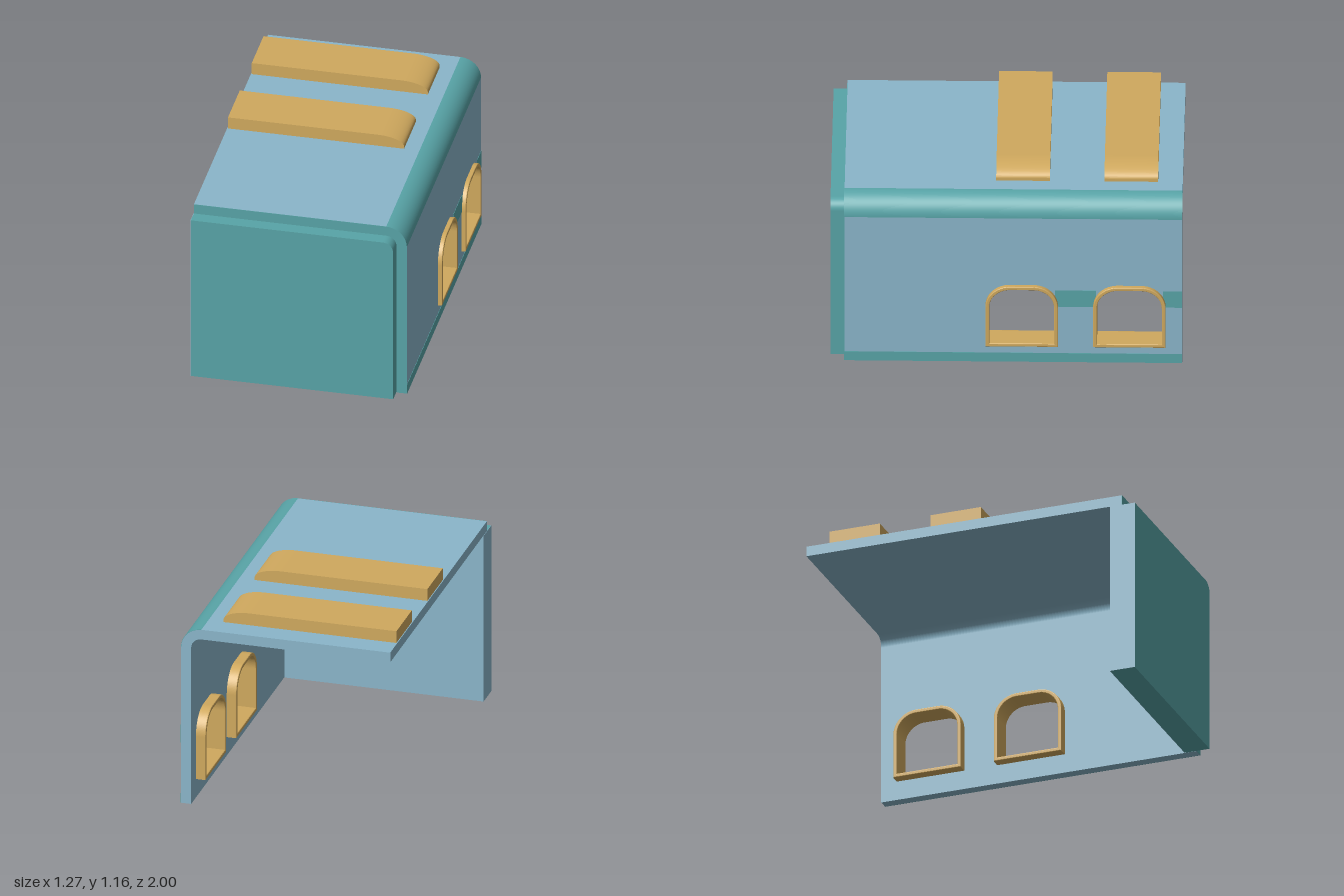
import * as THREE from 'three';

const paint = (color) => new THREE.MeshStandardMaterial({ color });
const BLUE = paint(0x8ab6ca), TEAL = paint(0x58a4a7), TAN = paint(0xd0a95e);

// Main measurements
const LEFT = -0.635, RIGHT = 0.605, TOP = 1.09, WALL = 0.06, R = 0.12;
const BACK = -1, RIM = 0.92, FRONT = 1, SKIN = 0.002;
const CX = RIGHT - R, CY = TOP - R;

export function createModel() {
  const model = new THREE.Group();

  function add(name, geometry, material, parent = model) {
    const mesh = new THREE.Mesh(geometry, material);
    mesh.name = name;
    parent.add(mesh);
    return mesh;
  }

  // Box given by its minimum and maximum corners
  function box(name, a, b, material) {
    const g = new THREE.BoxGeometry(b[0] - a[0], b[1] - a[1], b[2] - a[2]);
    g.translate((a[0] + b[0]) / 2, (a[1] + b[1]) / 2, (a[2] + b[2]) / 2);
    return add(name, g, material);
  }

  // Shape in x, y extruded from z0 to z1
  function alongZ(shape, z0, z1) {
    const g = new THREE.ExtrudeGeometry(shape, { depth: z1 - z0, bevelEnabled: false, curveSegments: 16 });
    return g.translate(0, 0, z0);
  }

  // Shape in (-z, y) extruded from x0 to x1
  function alongX(shape, x0, x1, bevel = 0) {
    const g = new THREE.ExtrudeGeometry(shape, {
      depth: x1 - x0 - 2 * bevel, curveSegments: 16, bevelEnabled: bevel > 0,
      bevelSize: bevel, bevelThickness: bevel, bevelOffset: -bevel, bevelSegments: 3,
    });
    return g.translate(0, 0, x0 + bevel).rotateY(Math.PI / 2);
  }

  // Quarter ring for the rounded roof edge
  function quarterRing(inner, outer) {
    const s = new THREE.Shape();
    s.absarc(CX, CY, outer, 0, Math.PI / 2, false);
    s.absarc(CX, CY, inner, Math.PI / 2, 0, true);
    s.closePath();
    return s;
  }

  // Arched window outline, inset on every side
  function arch(Kind, centreZ, inset) {
    const s = new Kind(), u = -centreZ, w = 0.206 - inset, r = 0.14 - inset;
    const y0 = 0.115 + inset, y1 = 0.52 - inset;
    s.moveTo(u - w, y0);
    s.lineTo(u + w, y0);
    s.lineTo(u + w, y1 - r);
    s.absarc(u + w - r, y1 - r, r, 0, Math.PI / 2, false);
    s.lineTo(u - w + r, y1);
    s.absarc(u - w + r, y1 - r, r, Math.PI / 2, Math.PI, false);
    s.closePath();
    return s;
  }

  // Rectangle in (-z, y) with the window openings cut out
  const windows = [-0.088, -0.70];
  function wallShape(z0, z1, y0, y1) {
    const s = new THREE.Shape();
    s.moveTo(-z1, y0);
    s.lineTo(-z0, y0);
    s.lineTo(-z0, y1);
    s.lineTo(-z1, y1);
    s.closePath();
    for (const z of windows) s.holes.push(arch(THREE.Path, z, 0.01));
    return s;
  }

  // Shell: roof, rounded edge and side wall
  box('roof', [LEFT, TOP - WALL, BACK], [CX, TOP, RIM], BLUE);
  add('roofEdgeCore', alongZ(quarterRing(R - WALL, R - SKIN), BACK, RIM), BLUE);
  add('roofEdgeSkin', alongZ(quarterRing(R - SKIN, R), BACK, RIM), TEAL);
  add('sideWall', alongX(wallShape(BACK, RIM, 0, CY), RIGHT - WALL, RIGHT), BLUE);

  // Painted bands on the side wall, and the front rim
  box('lowerBand', [RIGHT, 0, BACK], [RIGHT + SKIN, 0.06, RIM], TEAL);
  const stripeEnd = windows[1] - 0.19, gapStart = windows[1] + 0.19, gapEnd = windows[0] - 0.19;
  box('rearStripe', [RIGHT, 0.375, BACK], [RIGHT + SKIN, 0.485, stripeEnd], TEAL);
  box('middleStripe', [RIGHT, 0.375, gapStart], [RIGHT + SKIN, 0.485, gapEnd], TEAL);
  box('roofRim', [LEFT, TOP - WALL, RIM], [CX, TOP, RIM + SKIN], TEAL);
  box('wallRim', [RIGHT - WALL, 0, RIM], [RIGHT, CY, RIM + SKIN], TEAL);
  add('edgeRim', alongZ(quarterRing(R - WALL, R), RIM, RIM + SKIN), TEAL);

  // Front panel fitting inside the shell
  const px = 0.543, py = TOP - WALL, pr = 0.06;
  const panel = new THREE.Shape();
  panel.moveTo(LEFT, 0);
  panel.lineTo(px, 0);
  panel.lineTo(px, py - pr);
  panel.absarc(px - pr, py - pr, pr, 0, Math.PI / 2, false);
  panel.lineTo(LEFT, py);
  panel.closePath();
  add('frontPanel', alongZ(panel, 0.85, FRONT), TEAL);
  add('frontPanelInside', alongZ(panel, 0.85 - SKIN, 0.85), BLUE);
  box('frontPanelEnd', [LEFT - SKIN, 0, 0.85], [LEFT, py, FRONT], BLUE);

  // Window frames lining the openings
  windows.forEach((z, i) => {
    const frame = arch(THREE.Shape, z, 0);
    frame.holes.push(arch(THREE.Path, z, 0.022));
    add(i ? 'rearWindowFrame' : 'frontWindowFrame', alongX(frame, 0.487, 0.63, 0.005), TAN);
  });

  // Roof ribs with one rounded end
  const rib = new THREE.Shape();
  rib.moveTo(LEFT + 0.005, TOP);
  rib.lineTo(0.395, TOP);
  rib.lineTo(0.395, 1.105);
  rib.absellipse(0.24, 1.105, 0.155, 0.058, 0, Math.PI / 2, false);
  rib.lineTo(LEFT + 0.005, 1.163);
  rib.closePath();
  add('frontRoofRib', alongZ(rib, -0.245, 0.06), TAN);
  add('rearRoofRib', alongZ(rib, -0.86, -0.555), TAN);

  return model;
}
